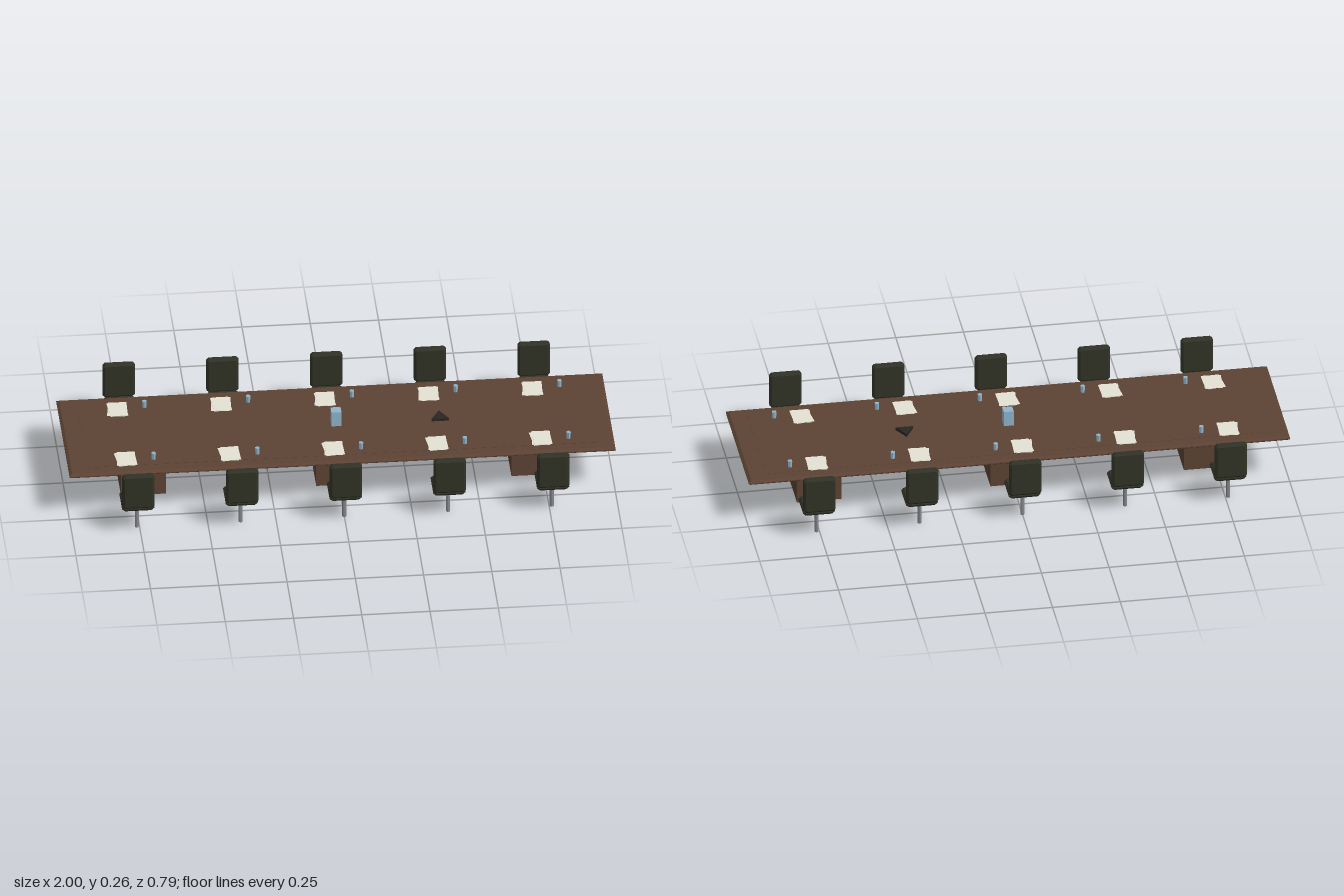
import * as THREE from 'three';

const mat = (name, color) => {
  const m = new THREE.MeshStandardMaterial({ color });
  m.name = name;
  return m;
};

// Slab with a bevelled rim, centred on the origin, thickness along z.
// inset: bevel width, band: height of the vertical rim, cut: clipped corners
function slab(w, h, t, inset, band, cut) {
  const x = w / 2 - inset, y = h / 2 - inset;
  const pts = cut
    ? [[x - cut, -y], [x, -y + cut], [x, y - cut], [x - cut, y],
       [-x + cut, y], [-x, y - cut], [-x, -y + cut], [-x + cut, -y]]
    : [[x, -y], [x, y], [-x, y], [-x, -y]];
  const shape = new THREE.Shape(pts.map(p => new THREE.Vector2(p[0], p[1])));
  const geo = new THREE.ExtrudeGeometry(shape, {
    depth: band, bevelEnabled: true, bevelSegments: 1,
    bevelThickness: (t - band) / 2, bevelSize: inset,
  });
  return geo.translate(0, 0, -band / 2);
}

export function createModel() {
  const wood = mat('dark wood', 0x5c4233);
  const leather = mat('dark leather', 0x303226);
  const metal = mat('grey metal', 0x85858c);
  const paper = mat('paper', 0xe4e0d4);
  const glass = mat('blue glass', 0x8fb3ca);
  const black = mat('black plastic', 0x2a2622);
  metal.flatShading = glass.flatShading = black.flatShading = true;

  const model = new THREE.Group();
  model.name = 'conferenceTable';
  const add = (parent, name, geo, material, x, y, z) => {
    const mesh = new THREE.Mesh(geo, material);
    mesh.name = name;
    mesh.position.set(x, y, z);
    parent.add(mesh);
    return mesh;
  };

  // Table top with a pointed edge and a slightly raised inner panel
  const top = slab(2, 0.523, 0.018, 0.01, 0.004, 0).rotateX(-Math.PI / 2);
  add(model, 'tableTop', top, wood, 0, 0.187, 0);
  add(model, 'topPanel', new THREE.BoxGeometry(1.86, 0.002, 0.43), wood, 0, 0.196, 0);

  // Three box pedestals
  const pedestal = new THREE.BoxGeometry(0.165, 0.18, 0.214);
  for (const x of [-0.715, 0, 0.715]) add(model, 'pedestal', pedestal, wood, x, 0.09, 0);

  const seat = slab(0.118, 0.122, 0.022, 0.008, 0.004, 0.004).rotateX(-Math.PI / 2);
  const back = slab(0.118, 0.141, 0.027, 0.008, 0.013, 0.004);
  const post = new THREE.CylinderGeometry(0.0075, 0.0075, 0.104, 8);
  const sheet = new THREE.BoxGeometry(0.066, 0.001, 0.092);
  const tumbler = new THREE.CylinderGeometry(0.009, 0.008, 0.026, 6);

  // Five places on each long side
  for (const side of [1, -1]) {
    for (let i = -2; i <= 2; i++) {
      const x = i * 0.38;

      const chair = new THREE.Group();
      chair.name = 'chair';
      add(chair, 'seat', seat, leather, x, 0.113, side * 0.323);
      add(chair, 'backrest', back, leather, x, 0.192, side * 0.3835);
      add(chair, 'post', post, metal, x, 0.052, side * 0.322);
      model.add(chair);

      // Loose stack of sheets and a tumbler
      const papers = new THREE.Group();
      papers.name = 'papers';
      [0.12, -0.08, 0.04].forEach((turn, k) => {
        add(papers, 'sheet', sheet, paper, x - 0.025 + (k - 1) * 0.003,
          0.1972 + k * 0.0006, side * 0.17).rotation.y = turn * side;
      });
      model.add(papers);
      add(model, 'tumbler', tumbler, glass, x + 0.075, 0.21, side * 0.178);
    }
  }

  // Water jug and three-sided conference speaker
  add(model, 'jug', new THREE.BoxGeometry(0.037, 0.06, 0.037), glass, 0, 0.226, 0);
  add(model, 'speaker', new THREE.CylinderGeometry(0.037, 0.037, 0.012, 3), black,
    0.38, 0.202, 0).rotation.y = Math.PI;

  return model;
}
